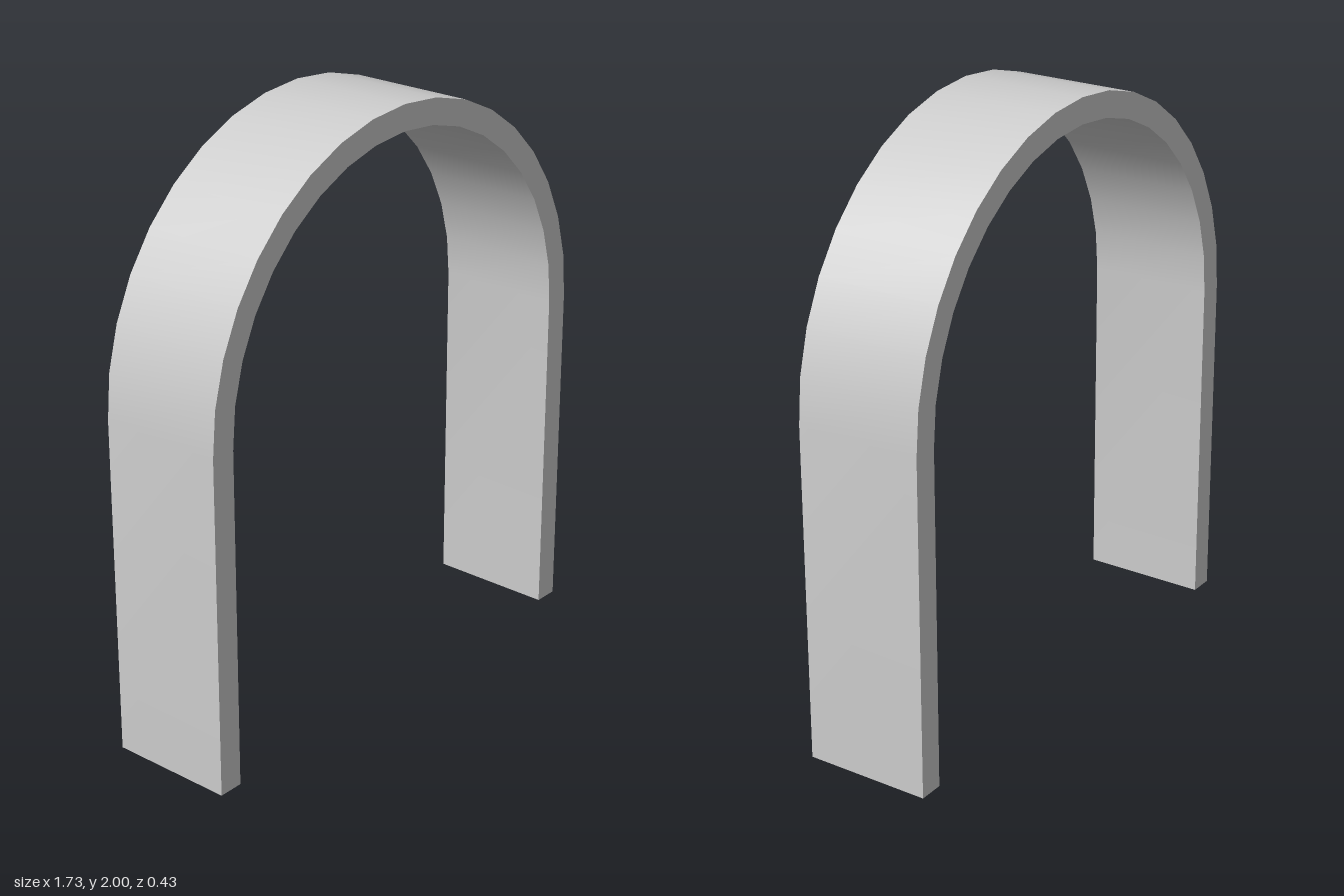
import * as THREE from 'three';
import { toCreasedNormals } from 'three/addons/utils/BufferGeometryUtils.js';

const OUTER = 0.865;   // outer radius of the arch
const INNER = 0.78;    // inner radius of the arch
const SPRING = 1.135;  // height where the legs meet the arch
const DEPTH = 0.43;

export function createModel() {
  const group = new THREE.Group();
  group.name = 'archway';

  // Front profile: straight legs joined by a half-ring
  const profile = new THREE.Shape();
  profile.moveTo(OUTER, 0);
  profile.lineTo(OUTER, SPRING);
  profile.absarc(0, SPRING, OUTER, 0, Math.PI, false);
  profile.lineTo(-OUTER, 0);
  profile.lineTo(-INNER, 0);
  profile.lineTo(-INNER, SPRING);
  profile.absarc(0, SPRING, INNER, Math.PI, 0, true);
  profile.lineTo(INNER, 0);
  profile.closePath();

  // Arcs get two divisions per curve segment: 18 facets of 10 degrees
  const solid = new THREE.ExtrudeGeometry(profile, {
    depth: DEPTH, curveSegments: 9, bevelEnabled: false,
  });
  solid.translate(0, 0, -DEPTH / 2);

  const arch = new THREE.Mesh(
    toCreasedNormals(solid, Math.PI / 6),
    new THREE.MeshStandardMaterial({ color: 0xcccccc }),
  );
  arch.name = 'arch';
  group.add(arch);
  return group;
}
